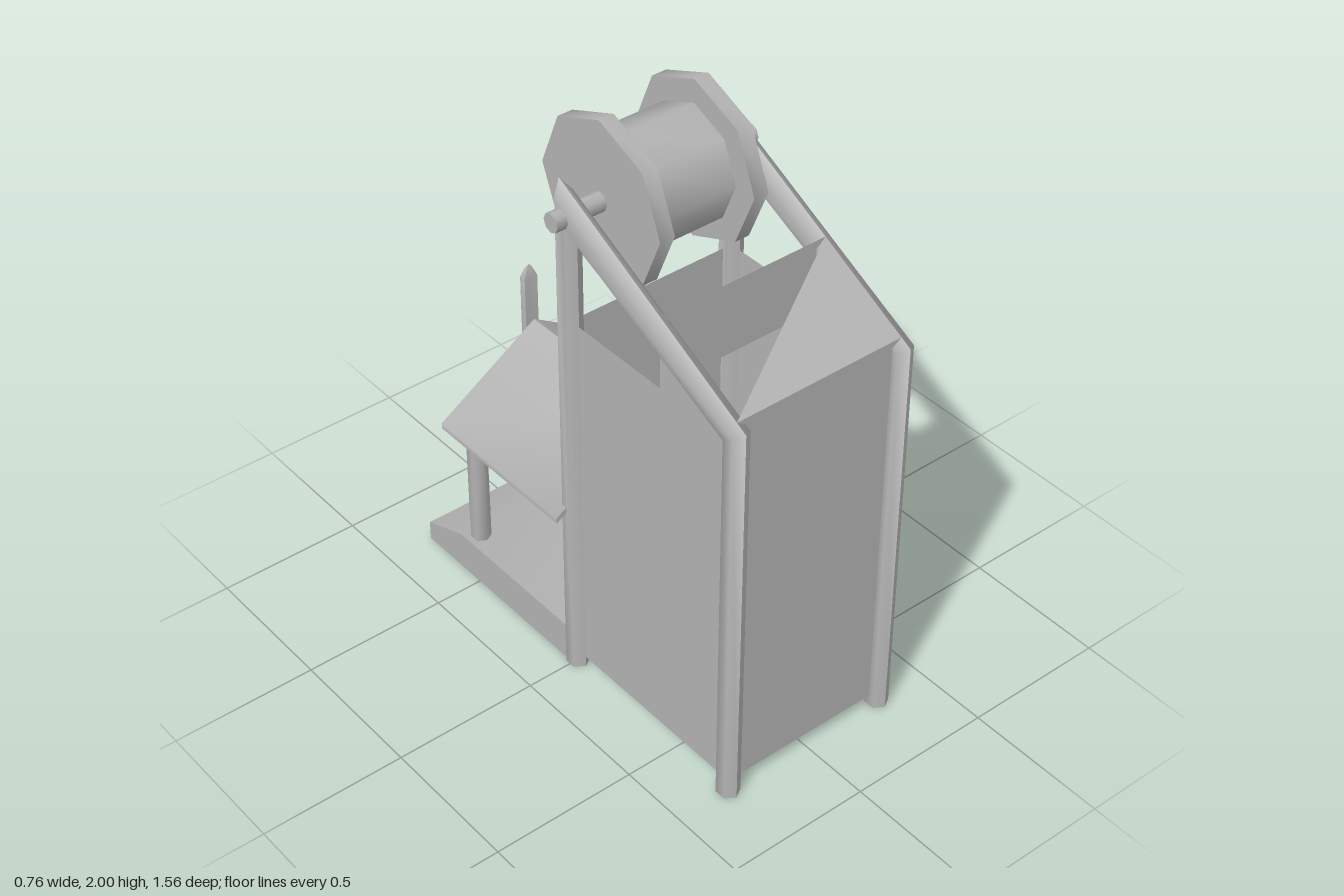
import * as THREE from 'three';
import { toCreasedNormals } from 'three/addons/utils/BufferGeometryUtils.js';

export function createModel() {
  const model = new THREE.Group();
  model.name = 'mineHeadframe';
  const grey = new THREE.MeshStandardMaterial({ color: 0xb2b2b2, side: THREE.DoubleSide });
  grey.name = 'plain grey';

  const add = (name, geometry, parent = model) => {
    const mesh = new THREE.Mesh(toCreasedNormals(geometry, 1.08), grey);
    mesh.name = name;
    parent.add(mesh);
    return mesh;
  };

  // Thin sheet made of flat polygons, each a list of corner points
  const sheet = (...polygons) => {
    const pos = [];
    for (const p of polygons) {
      for (let i = 1; i < p.length - 1; i++) pos.push(...p[0], ...p[i], ...p[i + 1]);
    }
    const g = new THREE.BufferGeometry();
    g.setAttribute('position', new THREE.Float32BufferAttribute(pos, 3));
    return g;
  };

  // Six-sided beam lofted through mitred rings; each ring is [outerY, outerZ, innerY, innerZ]
  const loftBeam = (x, rings) => {
    const n = 6;
    const points = rings.map(([oy, oz, iy, iz]) => Array.from({ length: n }, (_, k) => {
      const a = (k / n) * Math.PI * 2, t = (1 + Math.cos(a)) / 2;
      return [x + Math.sin(a) * 0.038, iy + (oy - iy) * t, iz + (oz - iz) * t];
    }));
    const faces = [points[0], [...points[points.length - 1]].reverse()];
    for (let r = 0; r < points.length - 1; r++) {
      for (let k = 0; k < n; k++) {
        const j = (k + 1) % n;
        faces.push([points[r][j], points[r][k], points[r + 1][k], points[r + 1][j]]);
      }
    }
    return sheet(...faces);
  };

  // Side frames: front post, sloping beam and back post in one bent run
  for (const s of [-1, 1]) {
    add(s > 0 ? 'leftFrame' : 'rightFrame', loftBeam(s * 0.307, [
      [0, 0.78, 0, 0.70],
      [1.41, 0.78, 1.36, 0.70],
      [1.83, -0.04, 1.66, 0.04],
      [0, -0.04, 0, 0.04],
    ]));
  }

  // Open-topped tower between the posts
  const W = 0.307, F = 0.74, B = 0, Y0 = 0.04, Y1 = 1.35;
  add('towerWalls', sheet(
    [[-W, Y0, F], [W, Y0, F], [W, Y1, F], [-W, Y1, F]],
    [[W, Y0, F], [W, Y0, B], [W, Y1, B], [W, Y1, F]],
    [[W, Y0, B], [-W, Y0, B], [-W, Y1, B], [W, Y1, B]],
    [[-W, Y0, B], [-W, Y0, F], [-W, Y1, F], [-W, Y1, B]],
  ));
  add('towerFloor', sheet([[-W, Y0, B], [W, Y0, B], [W, Y0, F], [-W, Y0, F]]));

  // Hopper above the front of the tower, half covered
  const H = 0.41, YB = 1.6, YF = 1.43;
  add('hopper', sheet(
    [[-W, Y1, F], [W, Y1, F], [W, YF, F], [-W, YF, F]],
    [[-W, Y1, H], [W, Y1, H], [W, YB, H], [-W, YB, H]],
    [[W, Y1, F], [W, Y1, H], [W, YB, H], [W, YF, F]],
    [[-W, Y1, H], [-W, Y1, F], [-W, YF, F], [-W, YB, H]],
  ));
  add('hopperCover', sheet([[-W, YF, F], [W, YF, F], [W, YB, H]]));

  // Winding wheel on its axle
  const wheel = new THREE.Group();
  wheel.name = 'windingWheel';
  wheel.position.set(0, 1.73, 0.01);
  model.add(wheel);
  const roller = (name, radius, length, x, sides) => {
    const g = new THREE.CylinderGeometry(radius, radius, length, sides);
    g.rotateZ(Math.PI / 2);
    add(name, g, wheel).position.x = x;
  };
  roller('axle', 0.032, 0.745, -0.005, 8);
  roller('drum', 0.19, 0.3, 0, 8);
  roller('rightFlange', 0.27, 0.053, -0.174, 8);
  roller('leftFlange', 0.27, 0.053, 0.172, 8);

  // Hollow platform behind the tower, with a sloping rear lip
  const side = (x) => [[x, 0, 0], [x, 0, -0.78], [x, 0.07, -0.78], [x, 0.14, -0.6], [x, 0.14, 0]];
  const L = side(-0.33), R = side(0.33);
  add('platform', sheet(
    R, [...L].reverse(),
    [R[1], L[1], L[2], R[2]],
    [R[2], L[2], L[3], R[3]],
    [R[3], L[3], L[4], R[4]],
  ));

  // Porch posts
  for (const s of [-1, 1]) {
    const g = new THREE.CylinderGeometry(0.034, 0.034, 0.51, 6);
    add('porchPost', g).position.set(s * 0.28, 0.39, -0.552);
  }

  // Gabled porch roof
  const roof = new THREE.Shape();
  [[-0.378, 0.612], [0, 0.85], [0.378, 0.612], [0.378, 0.632], [0, 0.87], [-0.378, 0.632]]
    .forEach(([x, y], i) => (i ? roof.lineTo(x, y) : roof.moveTo(x, y)));
  const roofGeometry = new THREE.ExtrudeGeometry(roof, { depth: 0.6, bevelEnabled: false });
  add('porchRoof', roofGeometry).position.z = -0.6;

  // Slim pointed bar on the gable end
  const r = 0.025 * Math.SQRT2;
  const profile = [[0, -0.278], [r * 0.4, -0.27], [r, -0.235], [r, 0.235], [r * 0.4, 0.27], [0, 0.278]]
    .map(([x, y]) => new THREE.Vector2(x, y));
  const bar = new THREE.LatheGeometry(profile, 4);
  bar.rotateY(Math.PI / 4);
  bar.scale(1, 1, 0.48);
  add('gableBar', bar).position.set(0, 0.793, -0.622);

  return model;
}
